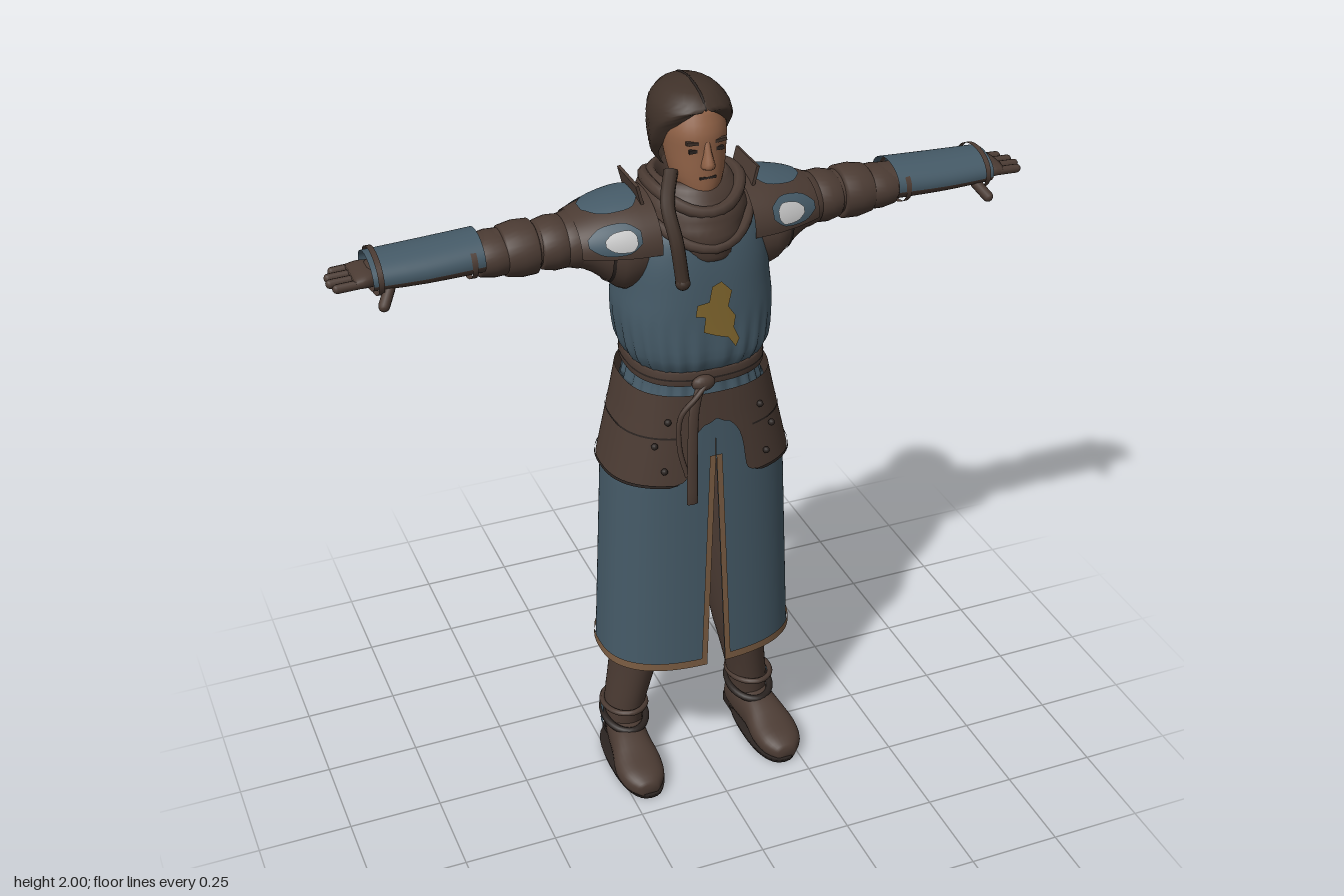
import * as THREE from 'three';

const mat = (name, color) => {
  const m = new THREE.MeshStandardMaterial({ color, side: THREE.DoubleSide });
  m.name = name;
  return m;
};
const leather = mat('brown leather', 0x4b3b33), hairBrown = mat('hair brown', 0x3f3129);
const cloth = mat('blue cloth', 0x455a67), skin = mat('skin', 0x8f6146);
const tan = mat('tan trim', 0x7a5c42), gold = mat('faded gold', 0x84692f);
const pale = mat('pale patch', 0xc4c4c4), dark = mat('dark leather', 0x2a2320);

const { lerp, clamp } = THREE.MathUtils;
const cr = (a, b, c, d, t) => b + 0.5 * t * (c - a + t * (2 * a - 5 * b + 4 * c - d + t * (3 * (b - c) + d - a)));

// Skin over cross-sections [along, centre1, centre2, radius1, radius2, startAngle?, endAngle?].
// Angle 0 faces the front on axes x and y (down on z); on axis x, -90 degrees is up.
function loft(rows, { n = 32, p = 2, axis = 'y', sub = 3, cap = false, f = null } = {}) {
  let rs = [];
  const at = i => rows[clamp(i, 0, rows.length - 1)];
  for (let i = 0; i < rows.length - 1; i++)
    for (let k = 0; k < sub; k++)
      rs.push(rows[i].map((b, e) => cr(at(i - 1)[e], b, at(i + 1)[e], at(i + 2)[e], k / sub)));
  rs.push(rows[rows.length - 1]);
  if (cap) {
    const shut = r => r.map((v, e) => (e === 3 || e === 4 ? v * 0.01 : v));
    rs = [shut(rs[0]), ...rs, shut(rs[rs.length - 1])];
  }
  const open = rows[0].length > 5, cols = open ? n + 1 : n, pos = [], idx = [];
  const pw = v => Math.sign(v) * Math.abs(v) ** (2 / p);
  rs.forEach(([t, c1, c2, r1, r2, a0 = 0, a1 = 2 * Math.PI]) => {
    for (let i = 0; i < cols; i++) {
      const a = lerp(a0, a1, i / n), s = f ? f(a, t, i / n) : 1;
      const u = r1 * pw(Math.sin(a)) * s, v = r2 * pw(Math.cos(a)) * s;
      if (axis === 'y') pos.push(c1 + u, t, c2 + v);
      else if (axis === 'x') pos.push(t, c1 - u, c2 + v);
      else pos.push(c1 + u, Math.max(0, c2 - v), t);
    }
  });
  for (let j = 0; j < rs.length - 1; j++)
    for (let i = 0; i < n; i++) {
      const a = j * cols + i, b = j * cols + (i + 1) % cols;
      idx.push(a, b, b + cols, a, b + cols, a + cols);
    }
  const g = new THREE.BufferGeometry();
  g.setAttribute('position', new THREE.Float32BufferAttribute(pos, 3));
  g.setIndex(idx);
  g.computeVertexNormals();
  return g;
}

function mirrored(g) {
  const m = g.clone().scale(-1, 1, 1), ix = m.index.array;
  for (let i = 0; i < ix.length; i += 3) [ix[i], ix[i + 1]] = [ix[i + 1], ix[i]];
  return m;
}

const V = (x, y, z) => new THREE.Vector3(x, y, z);
const tube = (pts, r, closed = false) =>
  new THREE.TubeGeometry(new THREE.CatmullRomCurve3(pts.map(q => V(...q)), closed), 32, r, 8, closed);
function rod(a, b, r) {
  const d = V(...b).sub(V(...a)), g = new THREE.CapsuleGeometry(r, d.length(), 4, 10);
  g.applyQuaternion(new THREE.Quaternion().setFromUnitVectors(V(0, 1, 0), d.clone().normalize()));
  return g.translate((a[0] + b[0]) / 2, (a[1] + b[1]) / 2, (a[2] + b[2]) / 2);
}
const box = (w, h, d, x, y, z, rz = 0) => new THREE.BoxGeometry(w, h, d).rotateZ(rz).translate(x, y, z);

// Body section given by its half width, front z and back z
const R = (y, rx, zf, zb, ...angles) => [y, 0, (zf + zb) / 2, rx, (zf - zb) / 2, ...angles];
const P = 2.5, PI = Math.PI;
const ang = (x, rx) => Math.asin((x / rx) ** (P / 2));

export function createModel() {
  const model = new THREE.Group();
  const add = (name, geo, material) => {
    const m = new THREE.Mesh(geo, material);
    m.name = name;
    model.add(m);
  };
  const both = (name, geo, material) => {
    add(name + 'Left', geo, material);
    add(name + 'Right', mirrored(geo), material);
  };

  // Head and face
  add('head', loft([[1.68, 0, -.02, .055, .055], [1.735, 0, .01, .055, .07], [1.75, 0, .025, .052, .07], [1.79, 0, .018, .067, .078],
    [1.85, 0, .005, .076, .088], [1.9, 0, 0, .078, .09], [1.95, 0, -.01, .065, .075]], { cap: true }), skin);
  add('nose', loft([[1.812, 0, .088, .014, .012], [1.823, 0, .094, .017, .026], [1.855, 0, .086, .01, .021], [1.885, 0, .08, .009, .01]], { n: 12, cap: true }), skin);
  add('mouth', box(.042, .006, .008, 0, 1.79, .092), dark);
  both('eye', box(.026, .009, .008, .031, 1.858, .084), dark);
  both('brow', box(.036, .008, .01, .033, 1.878, .084, .12), hairBrown);

  // Hair, open around the face, with a centre parting and a braid
  const hairRow = (y, rx, cz, rz, a) => [y, 0, cz, rx, rz, a, 2 * PI - a];
  add('hair', loft([hairRow(1.765, .06, -.05, .075, 1.9), hairRow(1.8, .082, -.04, .108, 1.7), hairRow(1.85, .095, -.03, .122, 1.3),
    hairRow(1.9, .1, -.025, .126, .95), hairRow(1.935, .096, -.025, .124, .5), hairRow(1.96, .084, -.027, .108, 0),
    hairRow(1.985, .056, -.03, .075, 0), hairRow(2, .004, -.03, .005, 0)],
    { n: 48, f: (a, t, u) => (1 + .012 * Math.sin(a * 22)) * (1 - (t < 1.95 ? .16 * Math.max(0, 1 - Math.min(u, 1 - u) * 14) : 0)) }), hairBrown);
  add('hairParting', tube([[0, 1.955, .083], [0, 1.982, .05], [0, 1.998, -.03], [0, 1.983, -.105], [0, 1.93, -.148]], .003), dark);
  add('braid', tube([[-.075, 1.8, .045], [-.105, 1.74, .1], [-.1, 1.66, .145], [-.09, 1.56, .158]], .018), hairBrown);
  add('braidTip', new THREE.SphereGeometry(.019, 12, 8).translate(-.09, 1.558, .158), hairBrown);

  // Wrapped cowl with folds
  add('cowl', loft([R(1.59, .1, .142, -.185), R(1.64, .125, .148, -.192), R(1.69, .135, .135, -.185), R(1.735, .118, .11, -.16),
    R(1.765, .095, .085, -.135), R(1.765, .08, .07, -.12), R(1.72, .07, .06, -.1)], { n: 40, f: (a, t) => 1 + .02 * Math.sin(t * 130 + 2 * Math.sin(a)) }), leather);
  const loop = (y, dip, rx, zf, zb) => Array.from({ length: 16 }, (_, i) => {
    const a = i * PI / 8, c = Math.cos(a);
    return [rx * Math.sin(a), y - dip * c * c, c > 0 ? zf * c : -zb * c];
  });
  add('cowlFoldLow', tube(loop(1.69, .065, .135, .142, -.185), .014, true), leather);
  add('cowlFoldHigh', tube(loop(1.755, .045, .112, .118, -.165), .016, true), leather);

  // Gathered tunic
  const pleat = (a, t) => 1 + .022 * Math.sin(a * 26) * clamp((1.44 - t) / .12, 0, 1);
  add('tunic', loft([R(1.2, .175, .14, -.172), R(1.25, .163, .132, -.168), R(1.285, .166, .137, -.172), R(1.33, .188, .155, -.185),
    R(1.42, .2, .152, -.188), R(1.5, .193, .147, -.187), R(1.58, .186, .138, -.182), R(1.65, .165, .12, -.172), R(1.7, .13, .08, -.14)],
    { n: 128, p: P, cap: true, f: pleat }), cloth);

  // Worn gold patch on the chest
  const patch = new THREE.Shape([[.012, 1.54], [-.012, 1.53], [-.02, 1.49], [-.05, 1.485], [-.055, 1.455], [-.03, 1.45], [-.035, 1.41], [.0, 1.395],
    [.03, 1.385], [.05, 1.355], [.06, 1.375], [.045, 1.41], [.05, 1.44], [.03, 1.47], [.04, 1.51]].map(q => new THREE.Vector2(...q)));
  const patchGeo = new THREE.ShapeGeometry(patch), pp = patchGeo.attributes.position;
  for (let i = 0; i < pp.count; i++) pp.setZ(i, .159 - (pp.getY(i) - 1.4) * .035 - pp.getX(i) ** 2);
  patchGeo.computeVertexNormals();
  add('chestPatch', patchGeo, gold);

  // Belt, knot and hanging strap
  add('belt', loft([R(1.255, .172, .143, -.18), R(1.258, .178, .15, -.186), R(1.292, .178, .15, -.186), R(1.295, .172, .143, -.18)], { n: 64, p: P, sub: 1 }), leather);
  add('beltSeam', loft([R(1.272, .179, .151, -.187), R(1.277, .179, .151, -.187)], { n: 64, p: P, sub: 1 }), dark);
  add('beltKnot', new THREE.SphereGeometry(.024, 16, 10).scale(1.3, .9, .7).translate(-.035, 1.268, .156), leather);
  add('beltStrap', loft([[.94, -.078, .19, .015, .005], [1.08, -.075, .184, .014, .005], [1.2, -.066, .172, .014, .006], [1.275, -.04, .16, .013, .007]], { n: 12, cap: true }), leather);
  add('strapLoop', tube([[-.03, 1.27, .165], [-.06, 1.24, .172], [-.1, 1.19, .168], [-.105, 1.1, .172], [-.088, 1.02, .182]], .007), leather);

  // Leather hip guard with an arched opening in front
  const guardRow = (y, x, e = 0) => {
    const k = clamp((y - .98) / .25, 0, 1), rx = lerp(.25, .192, k) + e;
    return R(y, rx, lerp(.172, .156, k) + e, lerp(-.196, -.185, k) - e, ang(x, rx), PI);
  };
  both('hipGuard', loft([guardRow(.98, .13), guardRow(.99, .095), guardRow(1.01, .08), guardRow(1.06, .074), guardRow(1.11, .062),
    guardRow(1.145, .035), guardRow(1.16, 0), guardRow(1.235, 0)], { n: 40, p: P, sub: 2 }), leather);
  both('hipGuardEdge', loft([guardRow(.98, .13, .004), guardRow(.988, .1, .004)], { n: 40, p: P, sub: 1 }), dark);
  both('hipGuardSeam', loft([[1.115], [1.12]].map(([y]) => guardRow(y, .1, .002)), { n: 40, p: P, sub: 1 }), dark);
  for (const [x, y, z] of [[.125, 1.165, .143], [.16, 1.1, .139], [.14, 1.03, .155]])
    both('rivet', new THREE.SphereGeometry(.009, 10, 8).translate(x, y, z), dark);

  // Long split skirt with tan edging
  const ys = [.395, .5, .6, .7, .8, .9, .95, 1, 1.05, 1.1, 1.2];
  const front = y => .026 * Math.max(0, (1.07 - y) / .67), back = y => .026 * Math.max(0, (.95 - y) / .55);
  const skirtRow = (y, e, x0, x1, flip) => {
    const rx = (y < 1 ? lerp(.266, .24, (y - .4) / .6) : lerp(.24, .18, (y - 1) / .2)) + e;
    const a0 = ang(x0, rx), a1 = PI - ang(x1, rx);
    return R(y, rx, lerp(.164, .152, (y - .4) / .8) + e, lerp(-.191, -.176, (y - .4) / .8) - e, flip ? PI - a0 : a0, a1);
  };
  both('skirt', loft(ys.map(y => skirtRow(y, 0, front(y), back(y))), { n: 64, p: P, sub: 1 }), cloth);
  both('skirtHem', loft([.393, .416].map(y => skirtRow(y, .004, front(y), back(y))), { n: 64, p: P, sub: 1 }), tan);
  const edge = (fn, top, isBack) => loft(ys.filter(y => y <= top).map(y => {
    const r = skirtRow(y, .004, fn(y), 0), b = ang(fn(y) + .016, r[3]);
    r[6] = b;
    return isBack ? [...r.slice(0, 5), PI - b, PI - r[5]] : r;
  }), { n: 3, p: P, sub: 1 });
  both('frontSlitTrim', edge(front, 1.05, false), tan);
  both('backSlitTrim', edge(back, .95, true), tan);

  // Legs, shoes and ankle straps
  const legRows = [[.06, .19, -.06, .05, .062], [.15, .187, -.057, .054, .07], [.28, .165, -.05, .061, .084], [.4, .146, -.045, .071, .096],
    [.6, .125, -.04, .08, .1], [.85, .108, -.03, .082, .1], [1.1, .1, -.02, .085, .1]];
  both('bootLeg', loft(legRows, { cap: true }), leather);
  both('shoe', loft([[-.13, .185, .035, .022, .025], [-.11, .185, .05, .043, .05], [-.05, .19, .06, .052, .062], [.03, .2, .055, .056, .056],
    [.1, .205, .042, .066, .042], [.16, .206, .034, .056, .033], [.195, .206, .026, .026, .02]], { axis: 'z', p: 2.4, cap: true }), leather);
  both('sole', loft([[0, .2, .035, .064, .163], [.016, .2, .035, .068, .166]], { p: 2.4, sub: 1, cap: true }), dark);
  both('heel', box(.085, .03, .07, .187, .015, -.09), dark);
  const ankle = (y, tilt, r) => tube(Array.from({ length: 12 }, (_, i) => {
    const a = i * PI / 6;
    return [.19 + .058 * Math.sin(a), y + tilt * Math.cos(a), -.05 + .08 * Math.cos(a)];
  }), r, true);
  both('ankleStrap', ankle(.118, -.012, .01), dark);
  both('ankleCuff', ankle(.16, .01, .008), leather);
  both('anklePatch', loft([[.085, .19, -.057, .063, .073, 1.5, 2.1], [.15, .189, -.057, .061, .076, 1.5, 2.3]], { n: 8, sub: 2 }), cloth);
  both('ankleTab', loft([[.125, .189, -.057, .064, .079, 1.75, 2.3], [.165, .187, -.057, .062, .079, 1.75, 2.3]], { n: 8, sub: 2 }), tan);

  // Sleeves
  const arm = (rows, opt) => loft(rows, { axis: 'x', ...opt });
  both('sleeve', arm([[.12, 1.6, -.03, .1, .11], [.19, 1.598, -.03, .113, .122], [.235, 1.612, -.03, .095, .108], [.29, 1.624, -.03, .068, .085],
    [.38, 1.63, -.032, .056, .066], [.46, 1.632, -.033, .052, .064], [.56, 1.635, -.033, .045, .06], [.7, 1.632, -.031, .038, .058], [.81, 1.632, -.03, .024, .052]],
    { cap: true }), leather);
  both('sleeveSeam', arm([[.228, 1.61, -.03, .1, .113], [.236, 1.612, -.03, .098, .111]], { sub: 1 }), dark);

  // Shoulder guards with coloured panels
  const guard = (x, a0, a1, e = 0) => {
    const k = clamp((x - .12) / .19, 0, 1);
    return [x, 1.625, -.03, lerp(.108, .072, k * k) + e, lerp(.14, .098, k * k) + e, a0, a1];
  };
  both('shoulderGuard', arm([.12, .18, .24, .285, .31].map(x => guard(x, -PI - .1, .1)), { n: 28 }), leather);
  const panel = (xs, mid, half, e) => arm(xs.map((x, i) => {
    const h = half * [.35, .9, 1, .85, .3][i];
    return guard(x, mid - h, mid + h, e);
  }), { n: 12 });
  both('shoulderPanel', panel([.145, .17, .21, .255, .285], -PI / 2, .55, .005), cloth);
  for (const [side, a] of [['front', -.38], ['back', -PI + .38]]) {
    both(side + 'ShoulderCloth', panel([.17, .2, .24, .27, .295], a - .02, .38, .004), cloth);
    both(side + 'PalePatch', panel([.183, .195, .215, .24, .258], a + .03 * Math.sign(a + 1.5), .24, .009), pale);
  }
  both('neckGuard', box(.008, .11, .13, .143, 1.715, -.03, -.25), leather);

  // Upper arm plates and elbow guards
  const plate = (x0, x1, ry, rz) => arm([[x0, 1.628, -.032, ry * .9, rz * .9], [x0 + .006, 1.628, -.032, ry, rz], [(x0 + x1) / 2, 1.628, -.032, ry * 1.03, rz * 1.02],
    [x1 - .006, 1.628, -.032, ry * .92, rz * .94], [x1, 1.628, -.032, ry * .82, rz * .85]], { sub: 1, cap: true });
  [[.275, .335, .068, .084], [.325, .395, .064, .076], [.4, .485, .066, .076], [.475, .55, .054, .07]].forEach(q => both('armPlate', plate(...q), leather));

  // Bracers: blue above, leather below
  const bracer = (a0, a1, ry, e = 0) => [[.54, 1.64, -.032, ry + .008 + e, .078 + e, a0, a1], [.68, 1.636, -.031, ry + .004 + e, .08 + e, a0, a1], [.81, 1.636, -.03, ry + e, .074 + e, a0, a1]];
  both('bracerTop', arm(bracer(-PI - .12, .12, .046)), cloth);
  both('bracerUnder', arm(bracer(.12, PI - .12, .036)), leather);
  for (const x of [.56, .785])
    both('bracerStrap', arm([[x, 1.637, -.031, .054, .08], [x + .014, 1.637, -.031, .054, .08]], { sub: 1 }), leather);

  // Gloved hands
  both('palm', arm([[.79, 1.632, -.03, .022, .045], [.82, 1.634, -.028, .021, .056], [.85, 1.632, -.028, .016, .055]], { cap: true, p: 2.6 }), leather);
  [[-.073, .88], [-.043, .896], [-.013, .899], [.017, .89]].forEach(([z, x]) => both('finger', rod([.84, 1.632, z], [x, 1.63, z], .0115), leather));
  both('thumb', rod([.77, 1.612, .025], [.792, 1.583, .052], .014), leather);

  return model;
}
